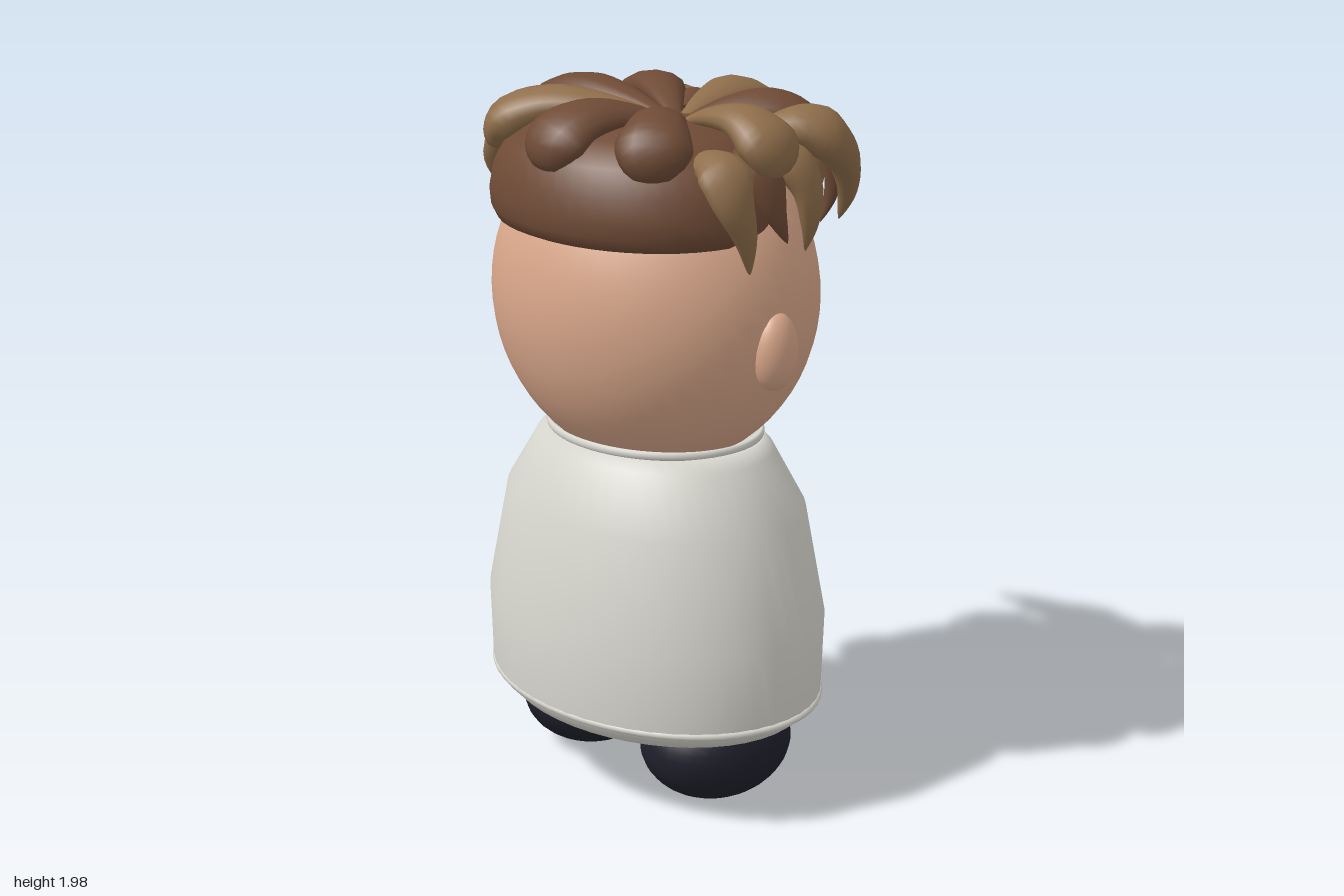
import * as THREE from 'three';

const paint = (name, color) => Object.assign(new THREE.MeshStandardMaterial({ color }), { name });
const V = (a) => new THREE.Vector3(...a);
const HEAD = { y: 1.43, rx: 0.48, ry: 0.49, rz: 0.418 };

// depth of the face surface (the face looks toward -z)
const faceZ = (x, y) =>
  -HEAD.rz * Math.sqrt(Math.max(0, 1 - (x / HEAD.rx) ** 2 - ((y - HEAD.y) / HEAD.ry) ** 2));

// width along a lock: petals swell near the rounded end, spikes taper to a tip
const petalShape = (t) => Math.min(1, 0.06 + 1.25 * t ** 0.85) * Math.sqrt(Math.max(0, 1 - Math.max(0, (t - 0.62) / 0.38) ** 2));
const spikeShape = (t) => Math.sqrt(Math.min(1, t / 0.3)) * Math.min(1, (1 - t) / 0.65) ** 0.8;

// sweep an elliptical section along a curve
function lockGeometry(points, width, thick, shape) {
  const curve = new THREE.CatmullRomCurve3(points.map(V));
  const rows = 20, cols = 12, pos = [], idx = [];
  for (let i = 0; i <= rows; i++) {
    const t = i / rows, c = curve.getPoint(t), tan = curve.getTangent(t);
    const out = c.clone().sub(new THREE.Vector3(0, 1.5, 0)).normalize();
    const side = tan.clone().cross(out).normalize();
    const up = side.clone().cross(tan);
    const s = Math.max(0.002, shape(t));
    for (let j = 0; j < cols; j++) {
      const a = (j / cols) * Math.PI * 2;
      const p = c.clone().addScaledVector(side, Math.cos(a) * width * s).addScaledVector(up, Math.sin(a) * thick * s);
      pos.push(p.x, p.y, p.z);
      if (i < rows) {
        const k = i * cols + j, n = i * cols + ((j + 1) % cols);
        idx.push(k, k + cols, n, n, k + cols, n + cols);
      }
    }
  }
  const g = new THREE.BufferGeometry();
  g.setAttribute('position', new THREE.Float32BufferAttribute(pos, 3));
  g.setIndex(idx);
  g.computeVertexNormals();
  return g;
}

export function createModel() {
  const root = new THREE.Group();
  root.name = 'figure';
  const skin = paint('skin', 0xdaa88b);
  const cloth = paint('cloth', 0xd9d8d0);
  const dark = paint('darkHair', 0x6f4b36);
  const light = paint('lightHair', 0x8f6e4b);
  const boot = paint('boot', 0x1f1f2b);
  const ink = paint('ink', 0x14161f);
  const white = paint('white', 0xf2f2f2);
  const freckleBrown = paint('freckleBrown', 0x7a4a33);

  const add = (name, geo, mat, parent = root) => {
    const m = new THREE.Mesh(geo, mat);
    m.name = name;
    parent.add(m);
    return m;
  };
  const ball = (name, mat, p, r, parent = root, n = 32) => {
    const m = add(name, new THREE.SphereGeometry(1, n, Math.ceil(n * 0.7)), mat, parent);
    m.position.set(...p);
    m.scale.set(...r);
    return m;
  };
  const lathe = (pts) => new THREE.LatheGeometry(pts.map((p) => new THREE.Vector2(...p)), 48);

  // robe: oval bell with a rolled hem and collar
  const robe = add('robe', lathe([[0, 0.24], [0.44, 0.24], [0.48, 0.25], [0.515, 0.28], [0.528, 0.31],
    [0.535, 0.53], [0.47, 0.84], [0.37, 1.0], [0.33, 1.035], [0, 1.04]]), cloth);
  robe.scale.z = 0.775;
  for (const [name, y, r, zr] of [['hem', 0.3, 0.523, 0.4], ['collar', 1.042, 0.323, 0.27]]) {
    const ring = add(name, new THREE.TorusGeometry(1, 0.024, 10, 64).rotateX(Math.PI / 2), cloth);
    ring.position.y = y;
    ring.scale.set(r, 0.5, zr);
  }

  // head
  ball('head', skin, [0, HEAD.y, 0], [HEAD.rx, HEAD.ry, HEAD.rz], root, 48);

  // mirrored parts: feet, ears, eyes, freckles
  for (const s of [-1, 1]) {
    const side = s > 0 ? 'left' : 'right';
    ball(side + 'Foot', boot, [s * 0.25, 0.165, 0], [0.197, 0.165, 0.228]);
    ball(side + 'Ear', skin, [s * 0.465, 1.35, 0.01], [0.056, 0.108, 0.068]);
    const eye = ball(side + 'Eye', ink, [s * 0.162, 1.45, faceZ(0.162, 1.45) - 0.003], [0.05, 0.1, 0.02]);
    eye.rotation.y = -s * 0.18;
    ball(side + 'EyeGlint', white, [s * 0.162 - 0.016, 1.485, -0.419], [0.012, 0.014, 0.009], root, 12);
    for (const x of [0.245, 0.29])
      for (const y of [1.3, 1.332])
        ball(side + 'Freckle', freckleBrown, [s * x, y, faceZ(x, y)], [0.007, 0.007, 0.007], root, 8);
  }

  // smile
  const smile = [-0.055, -0.03, 0, 0.03, 0.055].map((x) => {
    const y = 1.19 + 9 * x * x;
    return new THREE.Vector3(x, y, faceZ(x, y) - 0.004);
  });
  add('mouth', new THREE.TubeGeometry(new THREE.CatmullRomCurve3(smile), 20, 0.009, 8), ink);

  // hair
  const hair = new THREE.Group();
  hair.name = 'hair';
  root.add(hair);
  const cap = add('hairCap', lathe([[0, 1.62], [0.86, 1.622], [0.95, 1.635], [0.99, 1.665], [1, 1.71],
    [0.97, 1.77], [0.89, 1.84], [0.7, 1.895], [0.4, 1.92], [0, 1.925]]), dark, hair);
  cap.scale.set(0.435, 1, 0.34);
  cap.position.z = 0.082;

  // crown petals radiating from the whorl: end x, end z, half width, colour
  const wx = 0.11, wz = 0.02;
  for (const [x, z, w, mat] of [
    [0.46, 0.0, 0.1, light], [0.31, -0.29, 0.105, dark], [0.02, -0.395, 0.105, light],
    [-0.3, -0.26, 0.105, dark], [-0.46, -0.02, 0.105, dark], [-0.35, 0.28, 0.1, light],
    [-0.01, 0.39, 0.11, dark], [0.29, 0.29, 0.105, dark],
  ]) {
    const at = (k, y) => [wx + (x - wx) * k, y, wz + (z - wz) * k];
    add('crownLock', lockGeometry([at(0, 1.9), at(0.35, 1.935), at(0.68, 1.935), at(0.91, 1.88), at(0.97, 1.8)],
      w, 0.06, petalShape), mat, hair);
  }

  // fringe: pointed locks across the forehead, swept toward -x
  for (let i = 0; i < 11; i++) {
    const x = -0.31 + i * 0.066, edge = Math.abs(x) > 0.25 ? 0.03 : 0;
    add('fringeLock', lockGeometry([[x * 0.75 + 0.08, 1.9, -0.16], [x * 0.95 + 0.04, 1.89, -0.29],
      [x, 1.79, -0.36 + edge], [x - 0.035, 1.68, -0.385 + edge], [x - 0.07, 1.6, -0.385 + edge]],
    0.062, 0.035, spikeShape), i % 2 ? light : dark, hair);
  }
  // broad lock at the left temple and long flicks at the right temple
  add('templeLock', lockGeometry([[0.3, 1.9, -0.08], [0.385, 1.9, -0.2], [0.4, 1.82, -0.3], [0.37, 1.71, -0.36],
    [0.32, 1.61, -0.385]], 0.085, 0.06, spikeShape), light, hair);
  add('flickLock', lockGeometry([[-0.15, 1.9, -0.17], [-0.28, 1.88, -0.24], [-0.38, 1.81, -0.3],
    [-0.46, 1.73, -0.35], [-0.515, 1.66, -0.38]], 0.085, 0.05, spikeShape), light, hair);
  add('flickLock', lockGeometry([[-0.1, 1.9, -0.2], [-0.2, 1.88, -0.3], [-0.3, 1.8, -0.355],
    [-0.37, 1.71, -0.38], [-0.42, 1.64, -0.39]], 0.07, 0.045, spikeShape), dark, hair);

  // side locks curling out and down over the ears
  for (const s of [-1, 1]) {
    for (const [z0, z1, z2, tip] of [[0.14, 0.16, 0.085, 1.56], [-0.06, -0.11, -0.12, 1.59]])
      add('sideLock', lockGeometry([[s * 0.27, 1.85, z0], [s * 0.4, 1.84, (z0 + z1) / 2], [s * 0.455, 1.77, z1],
        [s * 0.465, 1.67, (z1 + z2) / 2], [s * 0.445, tip, z2]], 0.075, 0.045, spikeShape), light, hair);
    add('sideLock', lockGeometry([[s * 0.3, 1.86, 0.03], [s * 0.41, 1.82, 0.02], [s * 0.45, 1.72, 0],
      [s * 0.44, 1.62, -0.06]], 0.07, 0.04, spikeShape), dark, hair);
  }
  return root;
}
